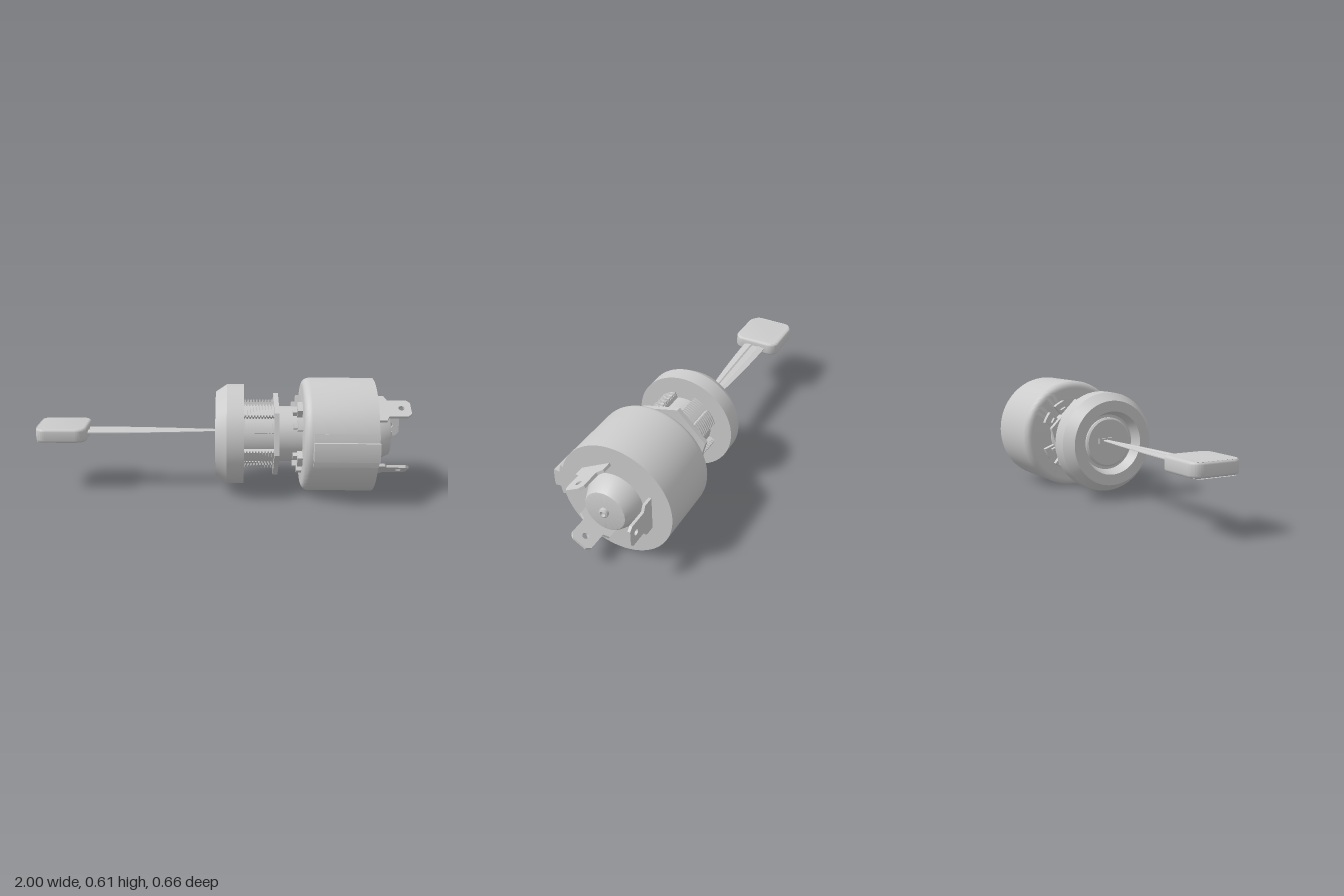
import * as THREE from 'three';
import { toCreasedNormals } from 'three/addons/utils/BufferGeometryUtils.js';

const mat = new THREE.MeshStandardMaterial({ color: 0xcccccc, side: THREE.DoubleSide });
const DEG = Math.PI / 180;

export function createModel() {
  const root = new THREE.Group();
  root.name = 'keySwitch';
  // everything is arranged around the switch axis, which runs along x
  const axis = new THREE.Group();
  axis.name = 'switchAxis';
  axis.position.set(0, 0.306, -0.023);
  root.add(axis);

  const add = (name, geo, parent = axis, crease = 0.5) => {
    const m = new THREE.Mesh(toCreasedNormals(geo, crease), mat);
    m.name = name;
    parent.add(m);
    return m;
  };

  // turned part: list of [x, radius], outside surface from low to high x
  const turned = (name, pts, seg = 72) => {
    const g = new THREE.LatheGeometry(pts.map(([x, r]) => new THREE.Vector2(r, x)), seg);
    return add(name, g.rotateZ(-Math.PI / 2));
  };

  // ring sector between two radii, centred on angle a (degrees from +z toward +y)
  const sector = (name, r0, r1, a, half, x0, x1, parent = axis) => {
    const s = new THREE.Shape();
    const b = 180 - a;
    s.absarc(0, 0, r1, (b - half) * DEG, (b + half) * DEG, false);
    s.absarc(0, 0, r0, (b + half) * DEG, (b - half) * DEG, true);
    s.closePath();
    const g = new THREE.ExtrudeGeometry(s, { depth: x1 - x0, bevelEnabled: false, curveSegments: 4 });
    return add(name, g.rotateY(Math.PI / 2).translate(x0, 0, 0), parent);
  };

  const roundedRect = (Path, x0, y0, x1, y1, r) => {
    const p = new Path();
    p.absarc(x1 - r, y0 + r, r, -Math.PI / 2, 0, false);
    p.absarc(x1 - r, y1 - r, r, 0, Math.PI / 2, false);
    p.absarc(x0 + r, y1 - r, r, Math.PI / 2, Math.PI, false);
    p.absarc(x0 + r, y0 + r, r, Math.PI, Math.PI * 1.5, false);
    p.closePath();
    return p;
  };

  // bezel ring with recessed lock face
  turned('bezel', [[0.03, 0], [0.03, 0.15], [-0.01, 0.165], [-0.03, 0.172], [-0.03, 0.23],
    [0.03, 0.27], [0.12, 0.27], [0.12, 0.14]]);
  turned('lockCylinder', [[0.012, 0], [0.012, 0.125], [0.02, 0.135], [0.035, 0.135]]);
  const lip = new THREE.BoxGeometry(0.012, 0.03, 0.09).translate(0.008, 0.01, -0.02);
  add('keyholeLip', lip);

  // neck core and slotted thread
  turned('neck', [[0.11, 0.15], [0.44, 0.15]]);
  const thread = new THREE.Group();
  thread.name = 'thread';
  axis.add(thread);
  for (let q = 0; q < 4; q++) {
    for (const a of [30, 60]) {
      const c = a + q * 90;
      sector('threadCore', 0.14, 0.172, c, 13, 0.115, 0.29, thread);
      for (let i = 0; i < 10; i++) {
        const x = 0.124 + i * 0.016;
        sector('threadRidge', 0.165, 0.186, c, 13, x, x + 0.008, thread);
      }
    }
  }

  // hexagonal nut
  const nut = new THREE.Shape();
  for (let i = 0; i < 6; i++) {
    const a = (15 + i * 60) * DEG;
    const p = [0.222 * Math.cos(a), 0.222 * Math.sin(a)];
    i ? nut.lineTo(...p) : nut.moveTo(...p);
  }
  nut.closePath();
  nut.holes.push(new THREE.Path().absarc(0, 0, 0.145, 0, Math.PI * 2, true));
  const nutGeo = new THREE.ExtrudeGeometry(nut, { depth: 0.026, bevelEnabled: false, curveSegments: 24 });
  add('nut', nutGeo.rotateY(Math.PI / 2).translate(0.28, 0, 0));

  // stepped lugs around the neck
  for (let q = 0; q < 4; q++) {
    for (const a of [30, 60]) {
      sector('lugFoot', 0.14, 0.212, a + q * 90, 9, 0.402, 0.44);
      sector('lugTip', 0.14, 0.18, a + q * 90, 5, 0.38, 0.41);
    }
  }

  // main housing with rounded front edge
  const edge = [];
  for (let i = 0; i <= 6; i++) {
    const t = (i / 6) * Math.PI / 2;
    edge.push([0.47 - 0.04 * Math.cos(t), 0.266 + 0.04 * Math.sin(t)]);
  }
  turned('housing', [[0.43, 0], ...edge, [0.81, 0.306], [0.81, 0]], 96);
  sector('wideRib', 0.29, 0.322, 0, 16, 0.475, 0.81);
  sector('narrowRib', 0.31, 0.353, 0, 8, 0.475, 0.81);

  // rear boss and centre rivet
  turned('rearBoss', [[0.805, 0.153], [0.81, 0.153], [0.895, 0.114], [0.903, 0.108], [0.905, 0.1], [0.905, 0]]);
  turned('rivet', [[0.9, 0.024], [0.921, 0.024], [0.925, 0.015], [0.91, 0.013], [0.91, 0]], 24);

  // three flat terminals with a shoulder, chamfered tip and hole
  const tab = new THREE.Shape();
  const half = [[0.8, 0.092], [0.865, 0.092], [0.88, 0.06], [0.98, 0.06], [1.0, 0.04]];
  const outline = [...half.map(([x, y]) => [x, -y]), ...half.reverse()];
  outline.forEach((p, i) => (i ? tab.lineTo(...p) : tab.moveTo(...p)));
  tab.closePath();
  tab.holes.push(new THREE.Path().absarc(0.95, 0, 0.016, 0, Math.PI * 2, true));
  for (const a of [60, 180, 300]) {
    const g = new THREE.ExtrudeGeometry(tab, { depth: 0.015, bevelEnabled: false, curveSegments: 12 });
    add('terminal', g.translate(0, 0, 0.183)).rotation.x = a * DEG;
  }

  // key: rounded grip with a slot
  const key = new THREE.Group();
  key.name = 'key';
  key.position.set(0, 0.318, -0.04);
  root.add(key);
  const grip = roundedRect(THREE.Shape, -1, -0.135, -0.727, 0.135, 0.055);
  grip.holes.push(roundedRect(THREE.Path, -0.985, -0.105, -0.932, 0.1, 0.024));
  const gripGeo = new THREE.ExtrudeGeometry(grip, {
    depth: 0.047, bevelThickness: 0.014, bevelSize: 0.014, bevelOffset: -0.014, bevelSegments: 3, curveSegments: 8,
  });
  add('keyGrip', gripGeo.rotateX(Math.PI / 2).translate(0, 0.0235, 0), key, 0.7);

  // key blade: grooved section, tapering toward the lock
  const sec = [[-1, 0.25], [-0.35, 1], [-0.22, 0.35], [0.3, 0.35], [0.42, 1], [1, 0.25]];
  const loop = [...sec, ...sec.map(([x, y]) => [x, -y]).reverse()];
  const bladeShape = new THREE.Shape(loop.map(([x, y]) => new THREE.Vector2(x, y)));
  const blade = new THREE.ExtrudeGeometry(bladeShape, { depth: 1, steps: 16, bevelEnabled: false });
  blade.rotateY(Math.PI / 2);
  const pos = blade.attributes.position;
  for (let i = 0; i < pos.count; i++) {
    const t = THREE.MathUtils.clamp(pos.getX(i), 0, 1);
    const w = 0.014 + 0.05 * (1 - Math.pow(t, 1.7));
    pos.setXYZ(i, -0.74 + 0.765 * t, pos.getY(i) * (0.01 - 0.005 * t), pos.getZ(i) * w - 0.006 * t);
  }
  add('keyBlade', blade, key, 0.15);

  return root;
}
